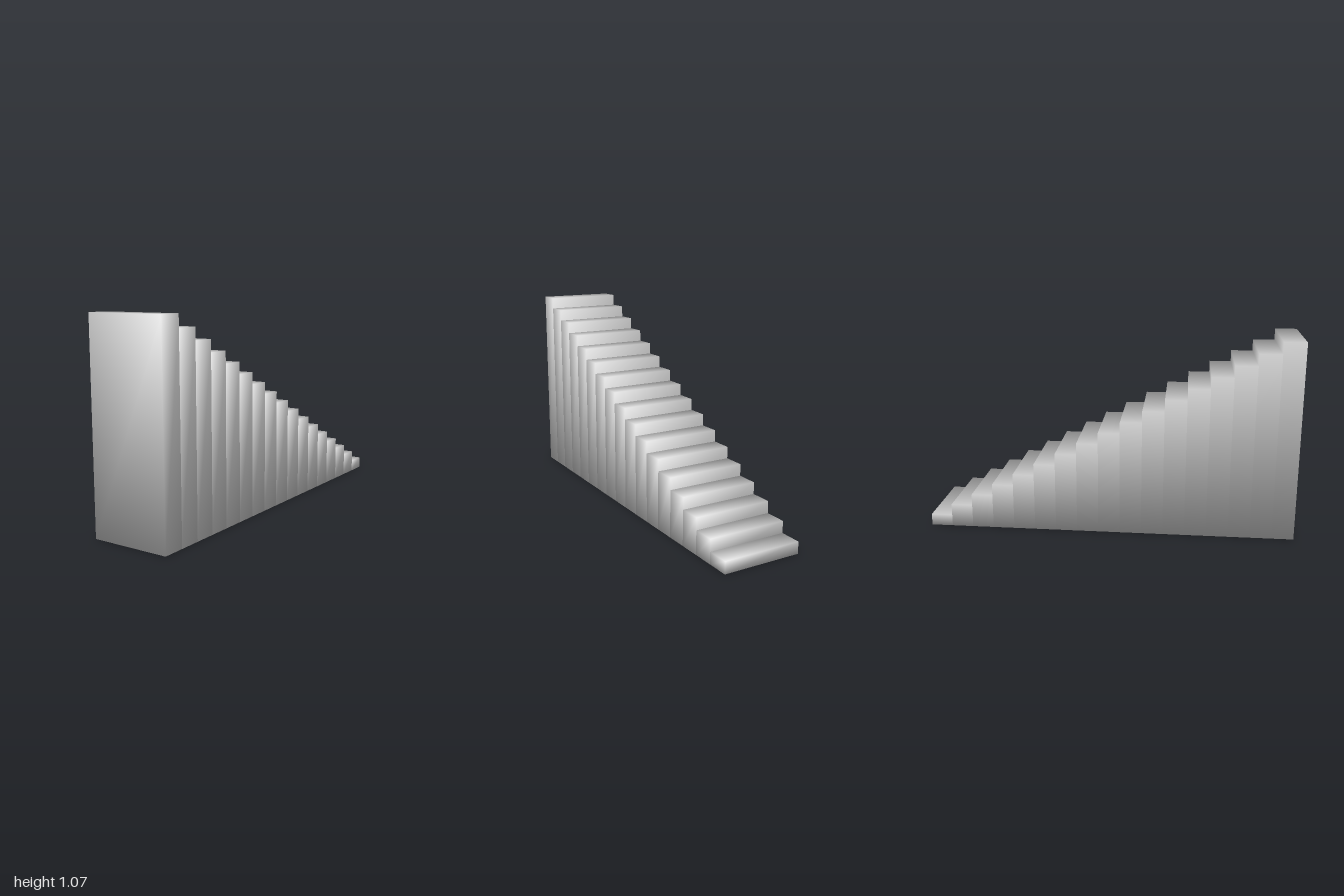
import * as THREE from 'three';

const STEPS = 17;
const WIDTH = 0.428;
const RISE = 1.072 / STEPS;
const DEPTH = 2 / STEPS;

// Box with smooth shading: every corner normal points diagonally outward
function smoothBox(w, h, d) {
  const geo = new THREE.BoxGeometry(w, h, d);
  const pos = geo.attributes.position;
  const n = new THREE.Vector3();
  for (let i = 0; i < pos.count; i++) {
    n.set(Math.sign(pos.getX(i)), Math.sign(pos.getY(i)), Math.sign(pos.getZ(i))).normalize();
    geo.attributes.normal.setXYZ(i, n.x, n.y, n.z);
  }
  return geo;
}

export function createModel() {
  const group = new THREE.Group();
  group.name = 'staircase';
  const material = new THREE.MeshStandardMaterial({ color: 0xcccccc });

  // Solid steps, each reaching the ground, rising from back to front
  for (let i = 0; i < STEPS; i++) {
    const height = RISE * (i + 1);
    const step = new THREE.Mesh(smoothBox(WIDTH, height, DEPTH), material);
    step.name = `step${i + 1}`;
    step.position.set(0, height / 2, -1 + DEPTH * (i + 0.5));
    group.add(step);
  }
  return group;
}
